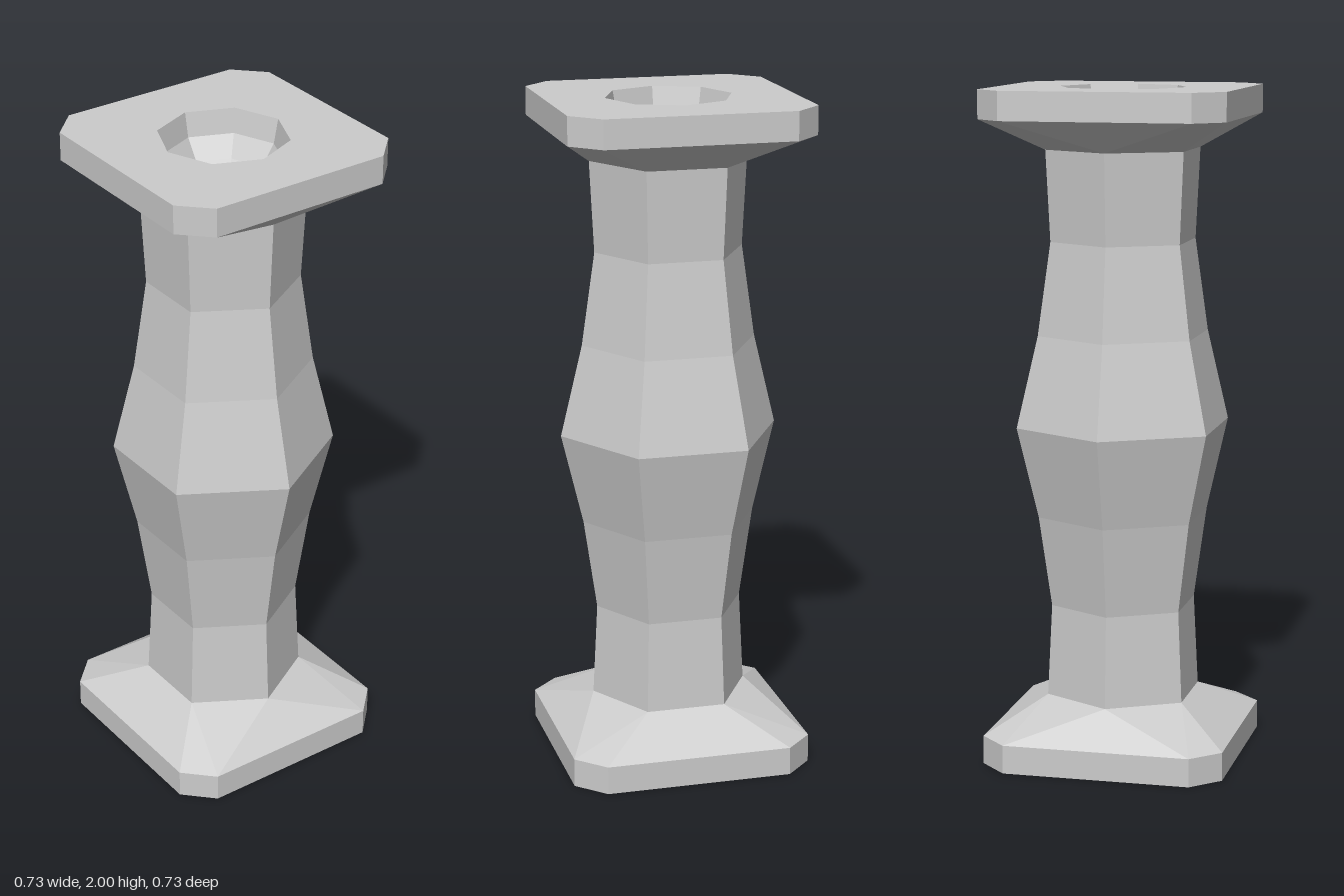
import * as THREE from 'three';

const HALF = 0.363, CUT = 0.28;      // chamfered square plate
const RIM = 0.085, NECK = 0.18;      // plate thickness, height where the shaft starts
const NECK_R = 0.238, BOWL_R = 0.189;

const material = new THREE.MeshStandardMaterial({
  color: 0xcccccc, flatShading: true, side: THREE.DoubleSide,
});

function part(name, geometry, parent) {
  const mesh = new THREE.Mesh(geometry, material);
  mesh.name = name;
  parent.add(mesh);
  return mesh;
}

// Corners of the chamfered plate, counter-clockwise from above
const octagon = [
  [CUT, HALF], [HALF, CUT], [HALF, -CUT], [CUT, -HALF],
  [-CUT, -HALF], [-HALF, -CUT], [-HALF, CUT], [-CUT, HALF],
];

// Open plate: vertical rim plus a flare from the octagon to the hexagonal shaft
function plateGeometry() {
  const positions = [];
  const tri = (...pts) => pts.forEach((p) => positions.push(...p));
  const outer = (i, y = RIM) => [octagon[i % 8][0], y, octagon[i % 8][1]];
  const hex = (i) => {
    const a = (i * Math.PI) / 3;
    return [NECK_R * Math.sin(a), NECK, NECK_R * Math.cos(a)];
  };
  for (let i = 0; i < 8; i++) {
    tri(outer(i, 0), outer(i + 1, 0), outer(i + 1));
    tri(outer(i, 0), outer(i + 1), outer(i));
  }
  for (let s = 0; s < 2; s++) {
    const h = (i) => hex(i + 3 * s), o = (i) => outer(i + 4 * s);
    tri(h(0), o(0), h(1));
    tri(h(1), o(0), o(1));
    tri(h(1), o(1), o(2));
    tri(h(1), o(2), h(2));
    tri(h(2), o(2), o(3));
    tri(h(2), o(3), h(3));
    tri(h(3), o(3), o(4));
  }
  const geometry = new THREE.BufferGeometry();
  geometry.setAttribute('position', new THREE.Float32BufferAttribute(positions, 3));
  geometry.computeVertexNormals();
  return geometry;
}

export function createModel() {
  const model = new THREE.Group();
  model.name = 'pillar';

  // Hollow six-sided shaft, swelling at mid height
  const profile = [
    [NECK_R, NECK], [0.224, 0.455], [0.264, 0.727], [0.33, 1],
    [0.264, 1.273], [0.224, 1.55], [NECK_R, 2 - NECK + 0.01],
  ].map(([r, y]) => new THREE.Vector2(r, y));
  profile[6].y = 2 - NECK;
  part('shaft', new THREE.LatheGeometry(profile, 6), model);

  // Base, and the same plate mirrored as the capital
  const plate = plateGeometry();
  part('base', plate, model);
  const capital = part('capital', plate, model);
  capital.scale.y = -1;
  capital.position.y = 2;

  // Top face with an eight-sided opening
  const top = new THREE.Shape(octagon.map(([x, z]) => new THREE.Vector2(x, -z)));
  const rim = [];
  for (let i = 0; i < 8; i++) {
    const a = (i * Math.PI) / 4;
    rim.push(new THREE.Vector2(BOWL_R * Math.cos(a), BOWL_R * Math.sin(a)));
  }
  top.holes.push(new THREE.Path(rim));
  const topFace = part('topFace', new THREE.ShapeGeometry(top), model);
  topFace.rotation.x = -Math.PI / 2;
  topFace.position.y = 2;

  // Hemispherical bowl sunk into the top
  const bowl = part('bowl',
    new THREE.SphereGeometry(BOWL_R, 8, 4, 0, Math.PI * 2, Math.PI / 2, Math.PI / 2), model);
  bowl.position.y = 2;

  return model;
}
